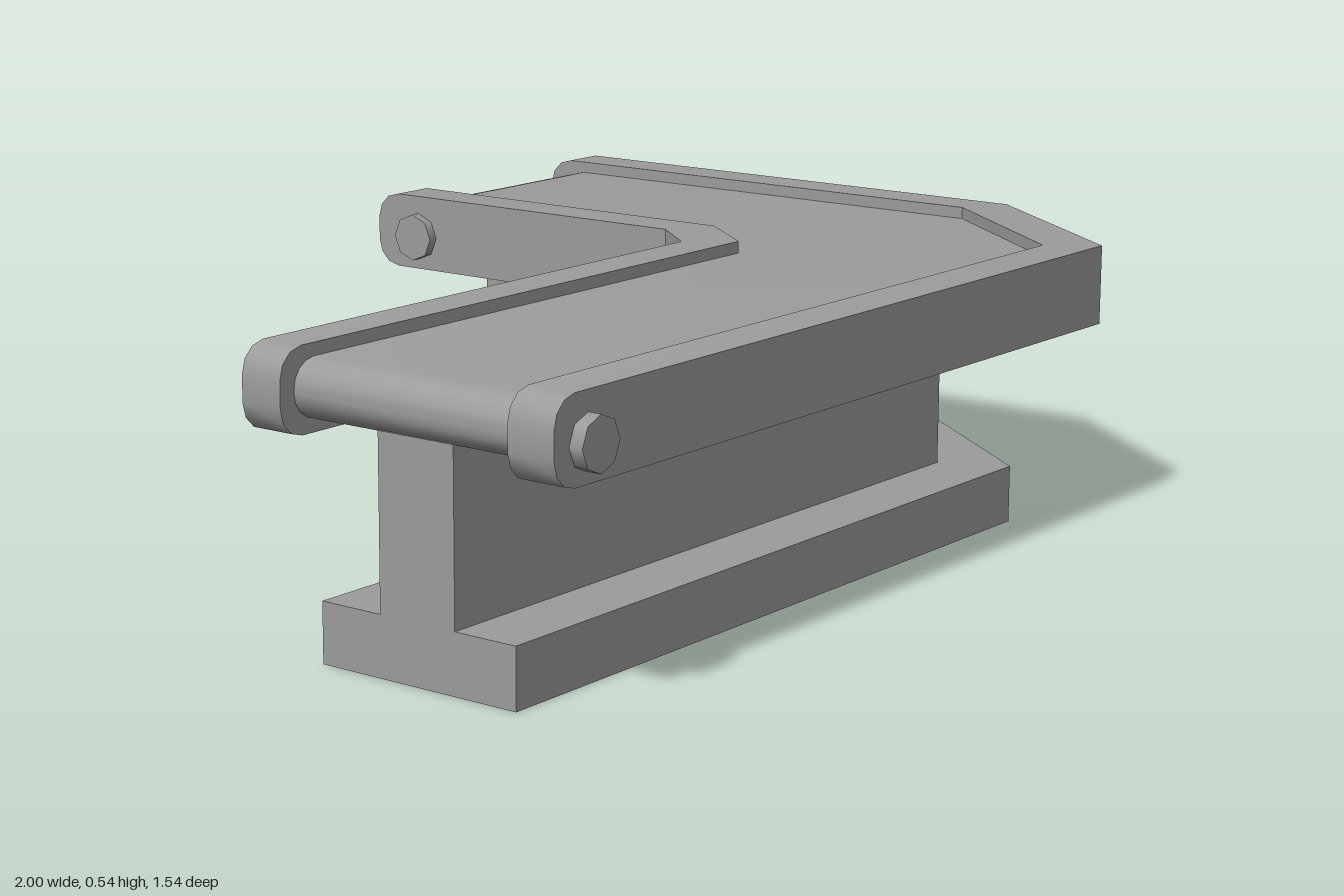
import * as THREE from 'three';
import { toCreasedNormals } from 'three/addons/utils/BufferGeometryUtils.js';

const material = new THREE.MeshStandardMaterial({ color: 0x9c9c9c });

// Rounded end: list of [distance from end, inset from top and bottom]
function roundedEnd(r, n) {
  return Array.from({ length: n + 1 }, (_, i) => {
    const a = (i / n) * Math.PI / 2;
    return [r * (1 - Math.cos(a)), r * (1 - Math.sin(a))];
  });
}

// L-shaped bar. outer/inner = [z of left leg, x of back leg, x of first bend, z of second bend]
function bentBar(name, outer, inner, xEnd, zEnd, y0, y1, end = [[0, 0]]) {
  const section = (o, i, d) => [
    [o[0], y1 - d, o[1]], [i[0], y1 - d, i[1]], [i[0], y0 + d, i[1]], [o[0], y0 + d, o[1]],
  ];
  const rings = [
    ...end.map(([t, d]) => section([xEnd + t, outer[0]], [xEnd + t, inner[0]], d)),
    section([outer[2], outer[0]], [inner[2], inner[0]], 0),
    section([outer[1], outer[3]], [inner[1], inner[3]], 0),
    ...[...end].reverse().map(([t, d]) => section([outer[1], zEnd + t], [inner[1], zEnd + t], d)),
  ];
  const pos = [];
  const quad = (a, b, c, d) => pos.push(...a, ...b, ...c, ...a, ...c, ...d);
  for (let i = 0; i < rings.length - 1; i++) {
    for (let k = 0; k < 4; k++) {
      const n = (k + 1) % 4;
      quad(rings[i][k], rings[i + 1][k], rings[i + 1][n], rings[i][n]);
    }
  }
  quad(...rings[0]);
  quad(...[...rings[rings.length - 1]].reverse());
  const geometry = new THREE.BufferGeometry();
  geometry.setAttribute('position', new THREE.Float32BufferAttribute(pos, 3));
  const mesh = new THREE.Mesh(toCreasedNormals(geometry, 0.6), material);
  mesh.name = name;
  return mesh;
}

// Axle cap poking out of a rail
function axleCap(x, z, alongX) {
  const geometry = new THREE.CylinderGeometry(0.048, 0.048, 0.06, 8);
  if (alongX) geometry.rotateZ(Math.PI / 2);
  else geometry.rotateX(Math.PI / 2);
  const mesh = new THREE.Mesh(geometry, material);
  mesh.position.set(x, 0.456, z);
  mesh.name = 'axleCap';
  return mesh;
}

export function createModel() {
  const group = new THREE.Group();
  group.name = 'cornerConveyor';

  // I-shaped stand
  group.add(bentBar('base', [0.62, 0.847, 0.563, 0.255], [0.205, 0.432, 0.29, 0.04], -0.945, -0.692, 0, 0.11));
  group.add(bentBar('column', [0.493, 0.718, 0.503, 0.213], [0.333, 0.565, 0.39, 0.135], -0.945, -0.692, 0.11, 0.42));

  // Side rails with softened ends
  const railEnd = roundedEnd(0.052, 3);
  const rail = [
    [0.742, 0.975, 0.675, 0.35], [0.65, 0.885, 0.61, 0.30],
    [0.17, 0.397, 0.285, 0.03], [0.085, 0.305, 0.215, -0.02],
  ];
  group.add(bentBar('outerRail', rail[0], rail[1], -1, -0.768, 0.388, 0.54, railEnd));
  group.add(bentBar('innerRail', rail[2], rail[3], -1, -0.768, 0.388, 0.54, railEnd));

  // Belt wrapped around its end rollers
  group.add(bentBar('belt', rail[1], rail[2], -0.967, -0.728, 0.413, 0.517, roundedEnd(0.05, 4)));

  // Axle caps on both faces of each end
  for (const z of [0.738, 0.087]) group.add(axleCap(-0.915, z, false));
  for (const x of [0.97, 0.315]) group.add(axleCap(x, -0.66, true));
  return group;
}
